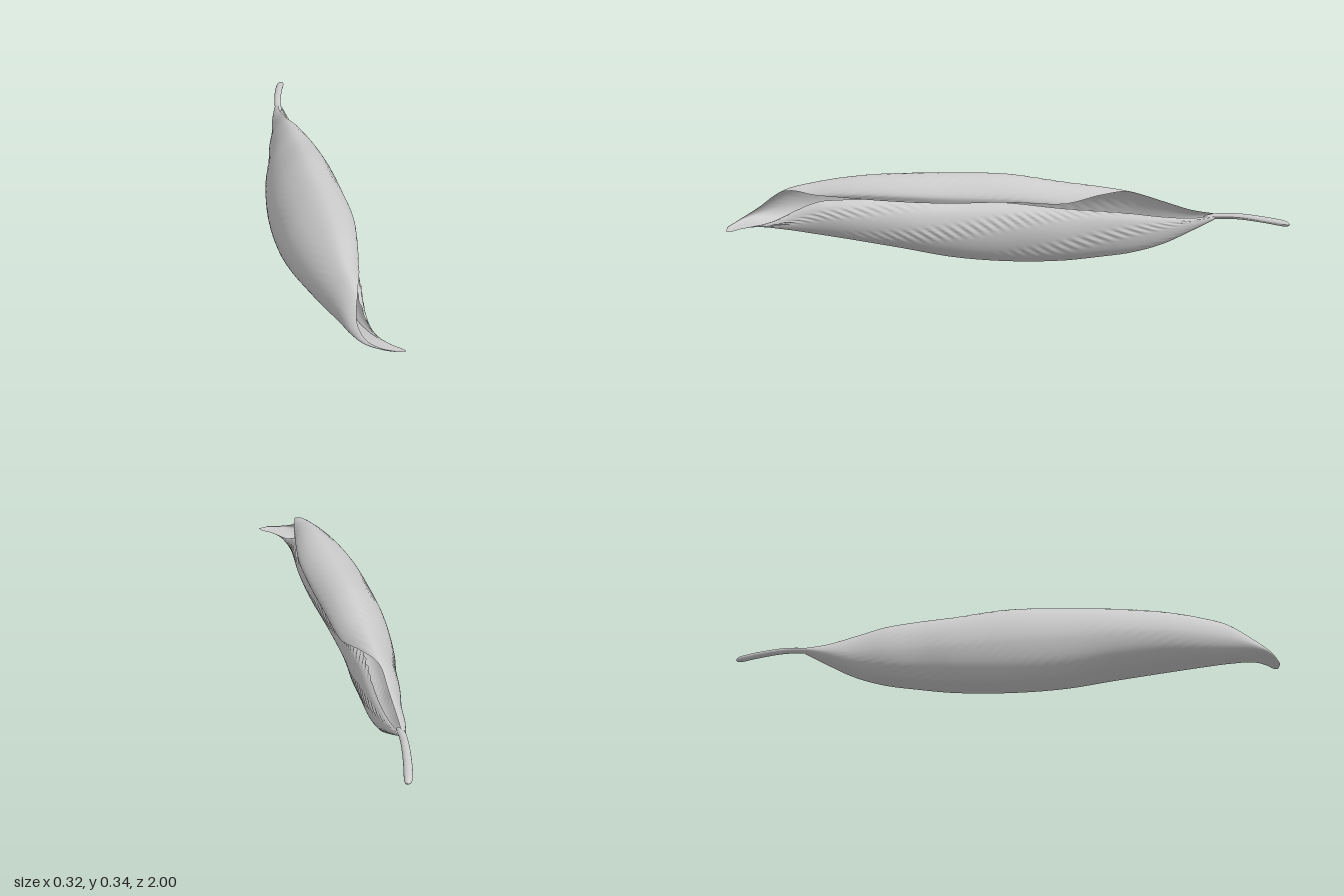
import * as THREE from 'three';

const curve = (points) => new THREE.CatmullRomCurve3(points.map(([x, y, z = 0]) => new THREE.Vector3(x, y, z)));

// Large half: from the midrib fold, round the back and over to the curled lip.
// x is 0 at the back wall and 1 at the fold or lip, y is 0 at the bottom and 1 at the top.
const section = curve([
  [1, 0], [0.72, 0.02], [0.37, 0.08], [0.09, 0.23], [0, 0.42],
  [0.06, 0.64], [0.25, 0.85], [0.57, 1], [0.83, 0.95], [0.98, 0.81], [0.95, 0.72],
]);
const segments = 10, wall = 4;

// Small half: rises from the midrib fold and tucks in under the lip (x is an offset from the fold)
const flap = curve([[0, 0], [0.15, 0.12], [0.23, 0.28], [0.24, 0.44], [0.18, 0.58], [0.04, 0.67]]);

// Stations along the blade: z, back wall x, fold x, lip x, bottom y, top y, section end
const stations = [
  [-0.74, 0.058, 0.082, 0.09, 0.186, 0.207, 6.8],
  [-0.66, 0.03, 0.082, 0.09, 0.145, 0.218, 6.9],
  [-0.56, 0.005, 0.077, 0.09, 0.096, 0.248, 7],
  [-0.45, -0.03, 0.063, 0.09, 0.06, 0.28, 7.2],
  [-0.33, -0.06, 0.04, 0.095, 0.036, 0.3, 8.2],
  [-0.2, -0.1, 0.012, 0.105, 0.014, 0.315, 9],
  [0, -0.14, -0.022, 0.102, 0.003, 0.342, 9.4],
  [0.2, -0.158, -0.03, 0.094, 0.02, 0.345, 9.8],
  [0.38, -0.163, -0.02, 0.08, 0.06, 0.342, 10],
  [0.55, -0.148, -0.012, 0.045, 0.096, 0.33, 9.8],
  [0.7, -0.122, -0.016, 0.008, 0.122, 0.305, 8.8],
  [0.8, -0.1, -0.013, 0, 0.14, 0.28, 7.5],
  [0.9, -0.075, 0.007, 0.008, 0.157, 0.22, 5.9],
  [0.95, -0.045, 0.036, 0.035, 0.16, 0.192, 5.2],
  [0.985, 0.005, 0.066, 0.066, 0.16, 0.178, 4.6],
  [1, 0.035, 0.07, 0.07, 0.163, 0.172, 4.4],
];

// Surface through rows of points
function loft(rows, material, name) {
  const n = rows[0].length, index = [];
  for (let i = 0; i < rows.length - 1; i++) {
    for (let j = 0; j < n - 1; j++) {
      const a = i * n + j, b = a + n;
      index.push(a, a + 1, b, b, a + 1, b + 1);
    }
  }
  const geometry = new THREE.BufferGeometry().setFromPoints(rows.flat());
  geometry.setIndex(index);
  geometry.computeVertexNormals();
  const mesh = new THREE.Mesh(geometry, material);
  mesh.name = name;
  return mesh;
}

export function createModel() {
  const group = new THREE.Group();
  group.name = 'curledLeaf';
  const material = new THREE.MeshStandardMaterial({ color: 0xcccccc, side: THREE.DoubleSide });

  // Blade halves fitted to the stations, with faint veins rising towards the tip
  const spline = new THREE.CubicInterpolant(
    stations.map((s) => s[0]), stations.flatMap((s) => s.slice(1)), 6, new Float32Array(6));
  const largeRows = [], smallRows = [], along = 300, around = 80, across = 30;
  const vein = (z, d) => 0.003 * Math.min(1, d * 5) * Math.sin((z - d * 0.9) * 120 + 2 * Math.sin(z * 7))
    * Math.max(0, Math.sin(z * 11 + d * 23));
  for (let i = 0; i <= along; i++) {
    const z = -0.74 + 1.74 * i / along;
    const [back, fold, lip, bottom, top, end] = spline.evaluate(z);
    const height = top - bottom, fade = Math.min(1, height / 0.2);
    const large = [], small = [];
    for (let j = 0; j <= around; j++) {
      const t = Math.min(segments, end * j / around);
      const p = section.getPoint(t / segments);
      const shrink = 1 - 2 * fade * vein(z, t / segments);
      const u = 0.5 + (p.x - 0.5) * shrink, v = 0.5 + (p.y - 0.5) * shrink;
      large.push(new THREE.Vector3(back + ((t < wall ? fold : lip) - back) * u, bottom + height * v, z));
    }
    const open = 1 - THREE.MathUtils.smoothstep(z, 0.65, 0.97);
    for (let j = 0; j <= across; j++) {
      const p = flap.getPoint(j / across);
      const x = fold + (lip - back) * p.x * open + fade * vein(z, j / across * 0.5);
      small.push(new THREE.Vector3(x, bottom + height * p.y * open, z));
    }
    largeRows.push(large);
    smallRows.push(small.reverse());
  }
  group.add(loft(largeRows, material, 'largeBladeHalf'), loft(smallRows, material, 'smallBladeHalf'));

  // Stem: flattened rod, blunt and slightly swollen at the end
  const path = curve([
    [0.073, 0.194, -0.7], [0.075, 0.197, -0.75], [0.09, 0.2, -0.82], [0.115, 0.194, -0.91], [0.145, 0.184, -1],
  ]);
  const stemRows = [];
  for (let i = 0; i <= 40; i++) {
    const s = i / 40, c = path.getPoint(s);
    const r = (0.01 + 0.003 * s) * Math.sqrt(Math.min(1, s * 5) * (1 - s ** 30));
    stemRows.push(Array.from({ length: 17 }, (_, j) => {
      const a = -j / 16 * Math.PI * 2;
      return new THREE.Vector3(c.x + r * Math.cos(a) * 1.2, c.y + r * Math.sin(a) * 0.9, c.z);
    }));
  }
  group.add(loft(stemRows, material, 'stem'));

  return group;
}
